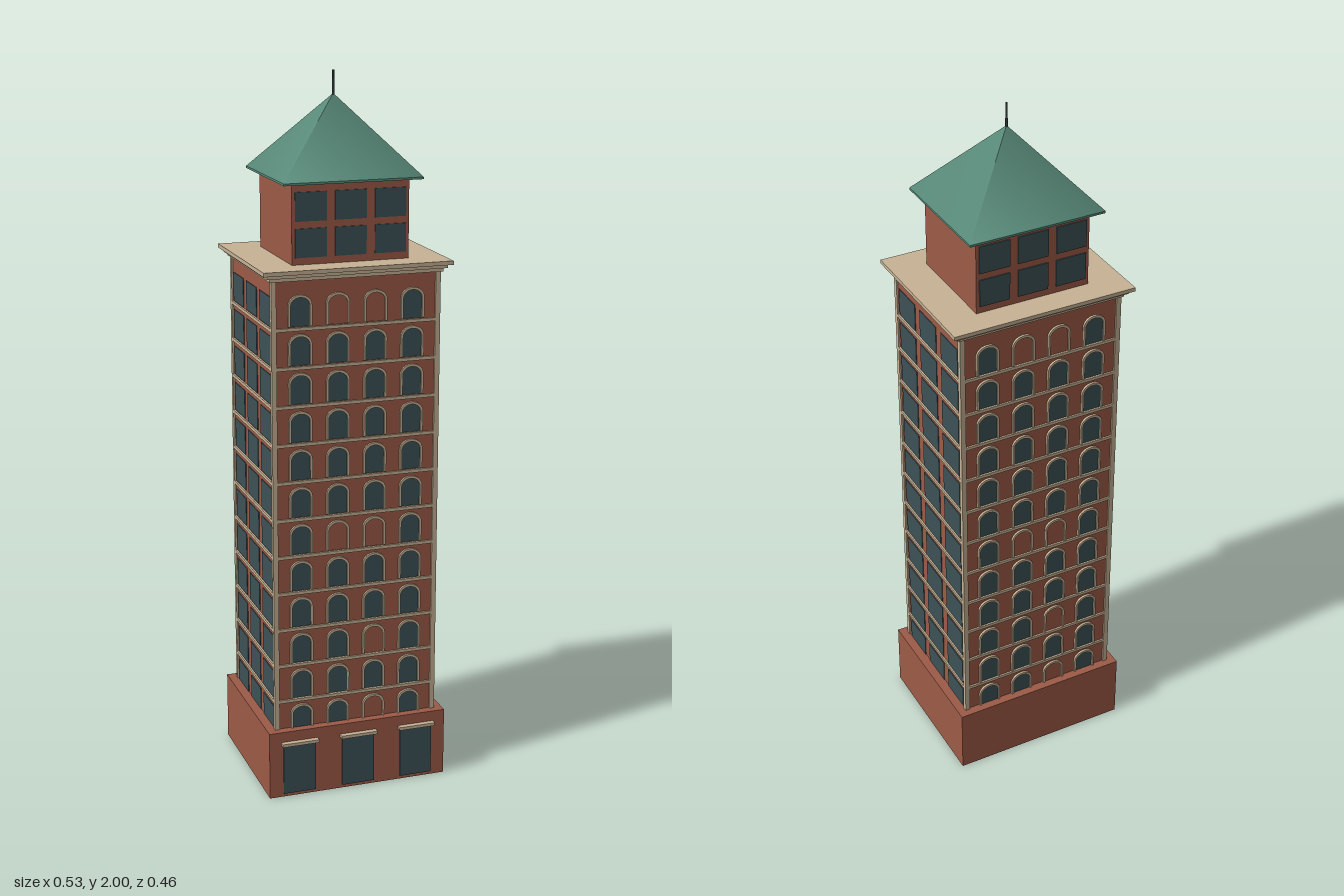
import * as THREE from 'three';

const paint = (name, color) => Object.assign(new THREE.MeshStandardMaterial({ color }), { name });

export function createModel() {
  const brick = paint('brick', 0x9e5b47);
  const stone = paint('stone', 0xc8b496);
  const glass = paint('glass', 0x3d5257);
  const copper = paint('copper', 0x5a8c7b);
  const iron = paint('iron', 0x333a3c);

  const tower = new THREE.Group();
  tower.name = 'tower';
  tower.position.z = -0.0065; // door lintels project at the front only

  const add = (parent, name, geometry, material, x = 0, y = 0, z = 0) => {
    const mesh = new THREE.Mesh(geometry, material);
    mesh.name = name;
    mesh.position.set(x, y, z);
    parent.add(mesh);
    return mesh;
  };
  // Box from its centre in x and z, and its bottom and top in y
  const box = (parent, name, material, w, d, y0, y1, x = 0, z = 0) =>
    add(parent, name, new THREE.BoxGeometry(w, y1 - y0, d), material, x, (y0 + y1) / 2, z);

  // Main masses
  box(tower, 'base', brick, 0.524, 0.44, 0, 0.197);
  box(tower, 'shaft', brick, 0.468, 0.388, 0.197, 1.48);
  box(tower, 'belvedere', brick, 0.33, 0.294, 1.505, 1.73);

  // Corner strips
  for (const sx of [-1, 1]) for (const sz of [-1, 1])
    box(tower, 'cornerStrip', stone, 0.014, 0.014, 0.197, 1.48, sx * 0.232, sz * 0.192);

  // Stepped cornice
  box(tower, 'corniceLower', stone, 0.488, 0.408, 1.475, 1.485);
  box(tower, 'corniceMiddle', stone, 0.508, 0.424, 1.485, 1.495);
  box(tower, 'corniceTop', stone, 0.532, 0.447, 1.495, 1.506);

  // Doors with projecting lintels
  for (const x of [-0.174, 0, 0.174]) {
    box(tower, 'door', glass, 0.095, 0.008, 0.01, 0.16, x, 0.22);
    box(tower, 'doorLintel', stone, 0.107, 0.018, 0.158, 0.167, x, 0.2265);
  }

  // Arched outline, from the sill up
  const arch = (Type, w, h) => {
    const s = new Type(), r = w / 2, spring = h - r * 0.85;
    s.moveTo(-r, 0);
    s.lineTo(r, 0);
    s.lineTo(r, spring);
    s.absellipse(0, spring, r, r * 0.85, 0, Math.PI, false);
    s.lineTo(-r, 0);
    return s;
  };
  const paneGeometry = new THREE.ExtrudeGeometry(arch(THREE.Shape, 0.054, 0.079),
    { depth: 0.003, bevelEnabled: false, curveSegments: 8 });
  const surround = arch(THREE.Shape, 0.066, 0.086);
  surround.holes.push(arch(THREE.Path, 0.054, 0.079));
  const surroundGeometry = new THREE.ExtrudeGeometry(surround,
    { depth: 0.007, bevelEnabled: false, curveSegments: 8 });

  const ROWS = 12, PITCH = 0.1064, TOP_SILL = 1.351;
  const bricked = ['0:1', '0:2', '6:1', '6:2', '9:2', '11:2']; // row:column

  // Front and back faces
  for (const turn of [0, Math.PI]) {
    const face = new THREE.Group();
    face.name = turn ? 'backFace' : 'frontFace';
    face.rotation.y = turn;
    tower.add(face);
    for (let row = 0; row < ROWS; row++) {
      const y = TOP_SILL - row * PITCH;
      for (let col = 0; col < 4; col++) {
        const x = (col - 1.5) * 0.106;
        const blind = bricked.includes(`${row}:${col}`);
        add(face, blind ? 'blindWindow' : 'archedWindow', paneGeometry, blind ? brick : glass, x, y, 0.1935);
        add(face, 'windowSurround', surroundGeometry, stone, x, y, 0.1935);
      }
      if (row < ROWS - 1) box(face, 'sillBand', stone, 0.452, 0.008, y - 0.012, y - 0.003, 0, 0.195);
    }
    // Belvedere windows
    for (const x of [-0.112, 0, 0.112]) for (const y of [1.525, 1.622])
      box(face, 'belvedereWindow', glass, 0.088, 0.008, y, y + 0.078, x, 0.146);
  }

  // Left and right faces
  for (const side of [-1, 1]) {
    const face = new THREE.Group();
    face.name = side > 0 ? 'leftFace' : 'rightFace';
    tower.add(face);
    for (let row = 0; row < ROWS; row++) {
      const y = TOP_SILL - row * PITCH;
      for (const z of [-0.127, 0, 0.127])
        box(face, 'sideWindow', glass, 0.006, 0.098, y, y + 0.081, side * 0.233, z);
      if (row < ROWS - 1) box(face, 'sideSillBand', stone, 0.008, 0.372, y - 0.012, y - 0.003, side * 0.235);
    }
  }

  // Pyramid roof with a thin eave and a spire
  box(tower, 'eave', copper, 0.39, 0.352, 1.722, 1.728);
  const roof = new THREE.ConeGeometry(Math.SQRT1_2, 0.21, 4);
  roof.rotateY(Math.PI / 4);
  roof.scale(0.39, 1, 0.352);
  add(tower, 'roof', roof, copper, 0, 1.833, 0);
  add(tower, 'spire', new THREE.CylinderGeometry(0.003, 0.0035, 0.07, 8), iron, 0, 1.965, 0);

  const model = new THREE.Group();
  model.name = 'brickTower';
  model.add(tower);
  return model;
}
